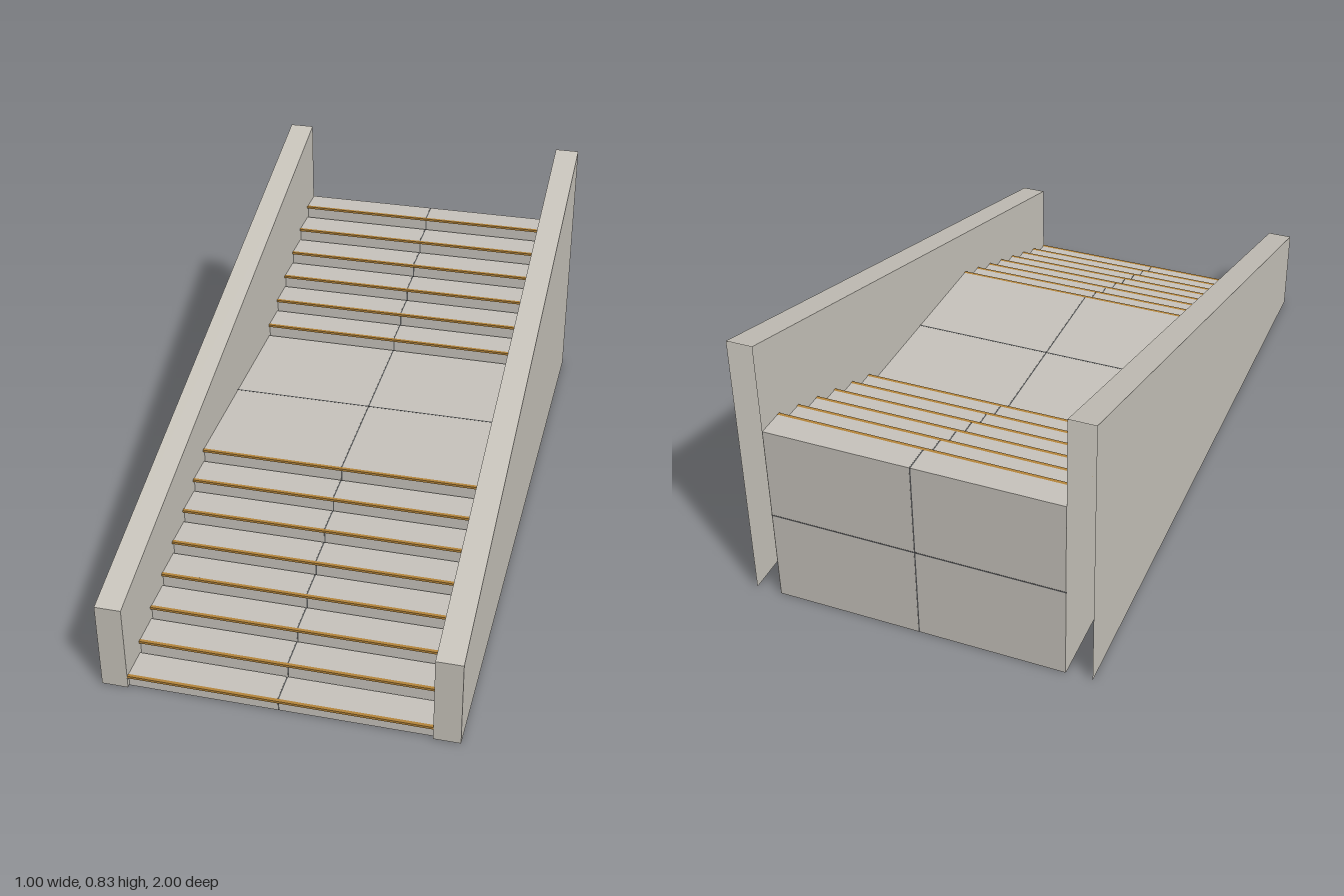
import * as THREE from 'three';

export function createModel() {
  const model = new THREE.Group();
  model.name = 'staircase';

  const mat = (name, color, side = THREE.FrontSide) => {
    const m = new THREE.MeshStandardMaterial({ color, side });
    m.name = name;
    return m;
  };
  const wallStone = mat('wall stone', 0xc8c4bb, THREE.DoubleSide);
  const stepStone = mat('step stone', 0xc8c4bd);
  const brass = mat('brass nosing', 0xb5853a);
  const grout = mat('dark joint', 0x5c5d5e);

  // Box given by its minimum and maximum corners
  const block = (name, material, x0, x1, y0, y1, z0, z1, parent = model) => {
    const mesh = new THREE.Mesh(new THREE.BoxGeometry(x1 - x0, y1 - y0, z1 - z0), material);
    mesh.position.set((x0 + x1) / 2, (y0 + y1) / 2, (z0 + z1) / 2);
    mesh.name = name;
    parent.add(mesh);
  };

  const inner = 0.425, outer = 0.5;
  const rise = 0.04, pitch = 0.1005, lip = 0.01, joint = 0.004, proud = 0.0005;
  const lowerSteps = 8, upperSteps = 6, landingPitches = 7;
  const count = lowerSteps + upperSteps;

  // Front edge of each step; the long landing follows the lower flight
  const frontEdge = (i) => {
    if (i >= count) return -1;
    return 1 - pitch * (i < lowerSteps ? i : i + landingPitches - 1);
  };

  // Steps: two stone halves, a centre joint and a brass nosing each
  for (let i = 0; i < count; i++) {
    const step = new THREE.Group();
    step.name = `step${i + 1}`;
    model.add(step);
    const top = rise * (i + 1);
    const front = frontEdge(i), back = frontEdge(i + 1);
    block('rightHalf', stepStone, -inner + 0.001, -joint / 2, 0, top, back, front - lip, step);
    block('leftHalf', stepStone, joint / 2, inner - 0.001, 0, top, back, front - lip, step);
    block('centreJoint', grout, -joint / 2, joint / 2, 0, top - proud, back + proud, front - lip - proud, step);
    block('nosing', brass, -inner, inner, top - 0.007, top, front - lip, front, step);
  }

  // Cross joint on the landing, above and below
  const landingMid = (frontEdge(lowerSteps - 1) + frontEdge(lowerSteps)) / 2;
  const landingTop = rise * lowerSteps;
  for (const y of [0, landingTop]) {
    block('landingJoint', grout, -inner, inner, y - proud, y + proud,
      landingMid - joint / 2, landingMid + joint / 2);
  }

  // Horizontal joint halfway up the back
  const backMid = rise * count / 2;
  block('backJoint', grout, -inner, inner, backMid - joint / 2, backMid + joint / 2, -1 - proud, -1 + proud);

  // Side walls: sloped hollow boxes, open underneath and at the back
  for (const side of [-1, 1]) {
    const geo = new THREE.BoxGeometry(outer - inner, 1, 2);
    const pos = geo.attributes.position;
    for (let i = 0; i < pos.count; i++) {
      const height = pos.getZ(i) > 0 ? 0.267 : 0.825;
      pos.setY(i, pos.getY(i) > 0 ? height : 0);
    }
    // Keep the two sides, the top and the front
    const index = Array.from(geo.index.array);
    geo.setIndex([...index.slice(0, 18), ...index.slice(24, 30)]);
    geo.clearGroups();
    geo.computeVertexNormals();
    const wall = new THREE.Mesh(geo, wallStone);
    wall.name = side > 0 ? 'leftWall' : 'rightWall';
    wall.position.x = side * (inner + outer) / 2;
    model.add(wall);
  }

  return model;
}
